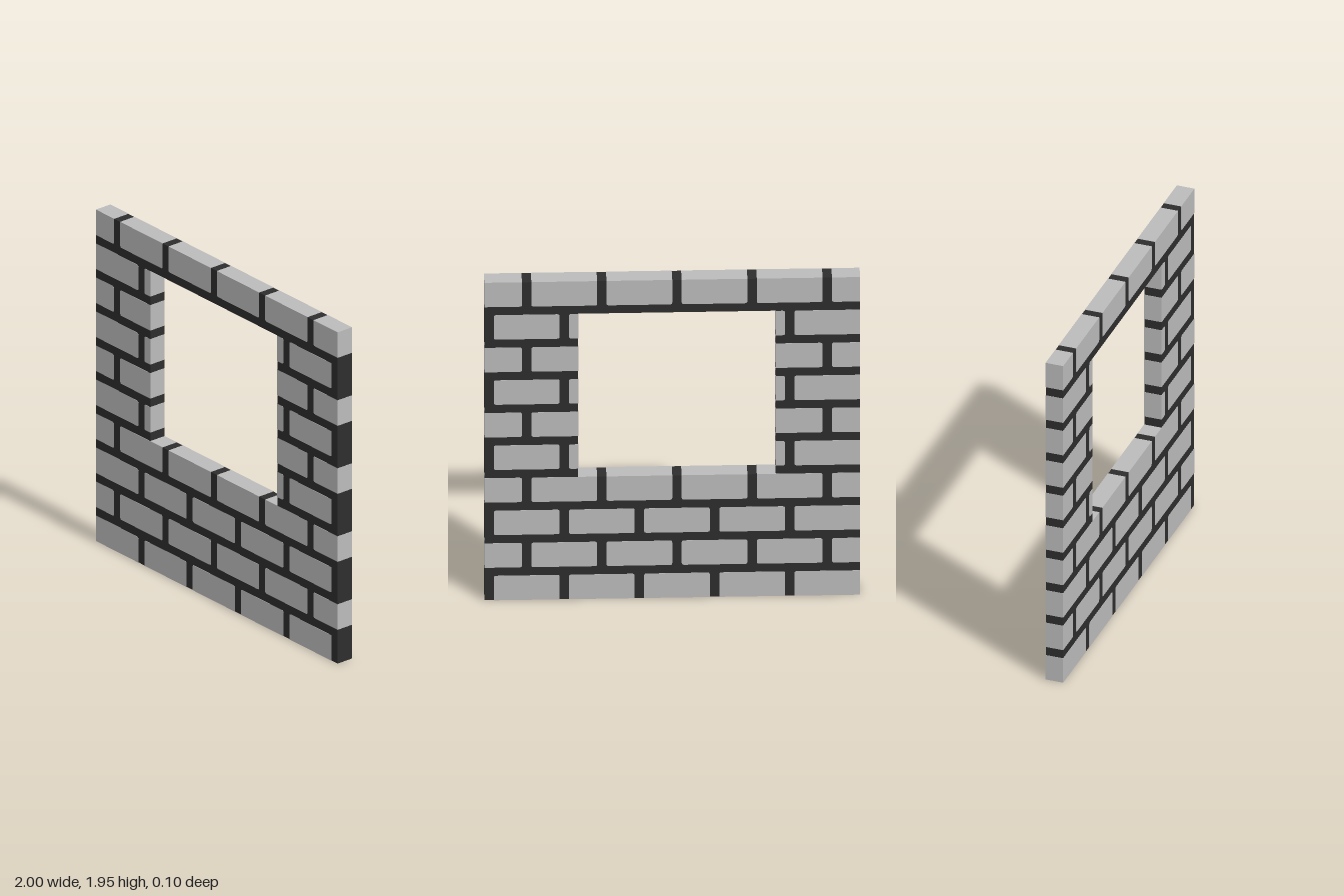
import * as THREE from 'three';

const DEPTH = 0.1, PITCH = 0.2, BRICK_H = 0.15, JOINT = 0.05, ROWS = 10;
const HEIGHT = ROWS * PITCH - JOINT;
const OPENING = { left: -0.55, right: 0.5, bottom: 0.75, top: 1.75 };
const ROUND = 0.012, RECESS = 0.001;

// Rectangle whose corners (bottom left, bottom right, top right, top left) have their own radii
function cornerRect(x0, y0, x1, y1, [bl, br, tr, tl] = [0, 0, 0, 0]) {
  const s = new THREE.Shape();
  s.moveTo(x0 + bl, y0);
  s.lineTo(x1 - br, y0);
  if (br) s.quadraticCurveTo(x1, y0, x1, y0 + br);
  s.lineTo(x1, y1 - tr);
  if (tr) s.quadraticCurveTo(x1, y1, x1 - tr, y1);
  s.lineTo(x0 + tl, y1);
  if (tl) s.quadraticCurveTo(x0, y1, x0, y1 - tl);
  s.lineTo(x0, y0 + bl);
  if (bl) s.quadraticCurveTo(x0, y0, x0 + bl, y0);
  return s;
}

function slab(shape, depth, material, name) {
  const geometry = new THREE.ExtrudeGeometry(shape, { depth, bevelEnabled: false, curveSegments: 3 });
  geometry.translate(0, 0, -depth / 2);
  const mesh = new THREE.Mesh(geometry, material);
  mesh.name = name;
  return mesh;
}

export function createModel() {
  const brickMaterial = new THREE.MeshStandardMaterial({ color: 0xbbbbbb });
  brickMaterial.name = 'brick grey';
  const mortarMaterial = new THREE.MeshStandardMaterial({ color: 0x2d2d2d });
  mortarMaterial.name = 'mortar black';

  const wall = new THREE.Group();
  wall.name = 'brickWallWithWindow';

  // Mortar body, set back by a hair so the bricks cover it
  const e = RECESS;
  const body = cornerRect(-1 + e, e, 1 - e, HEIGHT - e);
  body.holes.push(cornerRect(OPENING.left - e, OPENING.bottom - e, OPENING.right + e, OPENING.top + e));
  wall.add(slab(body, DEPTH - 2 * e, mortarMaterial, 'mortar'));

  // Bricks in running bond; only corners that meet two joints are rounded
  const bricks = new THREE.Group();
  bricks.name = 'bricks';
  wall.add(bricks);
  const near = (a, b) => Math.abs(a - b) < 1e-6;

  function addBrick(x0, x1, row) {
    const y0 = row * PITCH, y1 = y0 + BRICK_H;
    const beside = y0 > OPENING.bottom && y1 < OPENING.top + 1e-6;
    const cut = x => near(Math.abs(x), 1) || (beside && (near(x, OPENING.left) || near(x, OPENING.right)));
    const openTop = x => near(y1, HEIGHT) ||
      (near(y1, OPENING.bottom) && x > OPENING.left && x < OPENING.right);
    const r = (x, open) => (cut(x) || open ? 0 : ROUND);
    const radii = [r(x0, row === 0), r(x1, row === 0), r(x1, openTop(x1)), r(x0, openTop(x0))];
    bricks.add(slab(cornerRect(x0, y0, x1, y1, radii), DEPTH, brickMaterial, 'brick'));
  }

  for (let row = 0; row < ROWS; row++) {
    const y0 = row * PITCH;
    const beside = y0 > OPENING.bottom && y0 < OPENING.top;
    const spans = beside ? [[-1, OPENING.left], [OPENING.right, 1]] : [[-1, 1]];
    const first = row % 2 ? -1.2 : -1;
    for (let i = 0; i < 6; i++) {
      const start = first + i * 0.4, end = start + 0.35;
      for (const [a, b] of spans) {
        const x0 = Math.max(start, a), x1 = Math.min(end, b);
        if (x1 - x0 > 0.01) addBrick(x0, x1, row);
      }
    }
  }
  return wall;
}
